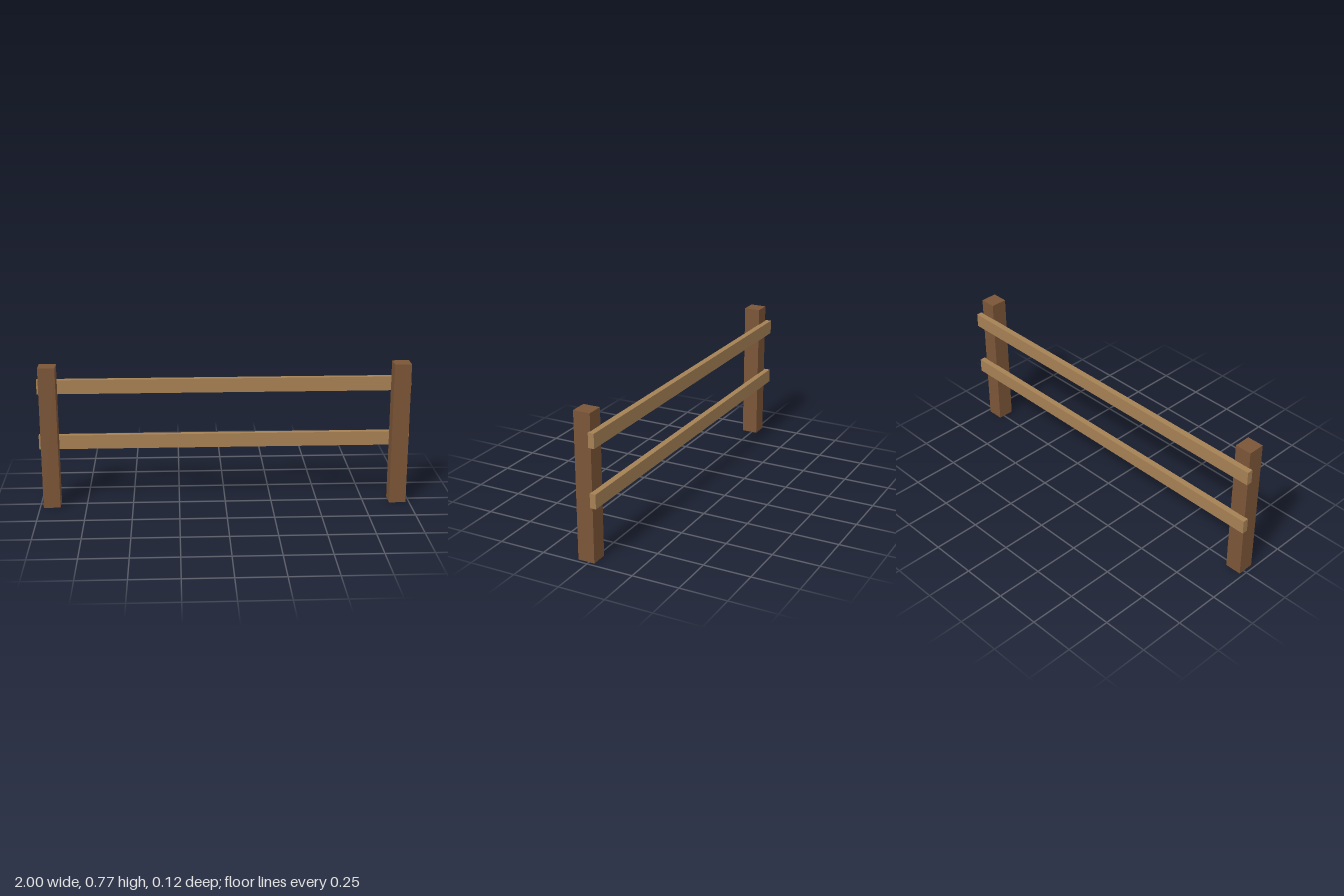
import * as THREE from 'three';

export function createModel() {
  const fence = new THREE.Group();
  fence.name = 'fence';

  const postWood = new THREE.MeshStandardMaterial({ color: 0x7b5537, flatShading: true });
  const railWood = new THREE.MeshStandardMaterial({ color: 0xa68154, flatShading: true });

  function addBeam(name, material, size, position) {
    const beam = new THREE.Mesh(new THREE.BoxGeometry(...size), material);
    beam.name = name;
    beam.position.set(...position);
    fence.add(beam);
  }

  // Square posts, set in slightly from the rail ends
  const postHeight = 0.775;
  for (const [name, side] of [['leftPost', 1], ['rightPost', -1]]) {
    addBeam(name, postWood, [0.09, postHeight, 0.09], [side * 0.936, postHeight / 2, 0.015]);
  }

  // Flat rails, let a little into the back of the posts
  for (const [name, y] of [['lowerRail', 0.341], ['upperRail', 0.648]]) {
    addBeam(name, railWood, [2, 0.076, 0.032], [0, y, -0.044]);
  }

  return fence;
}
